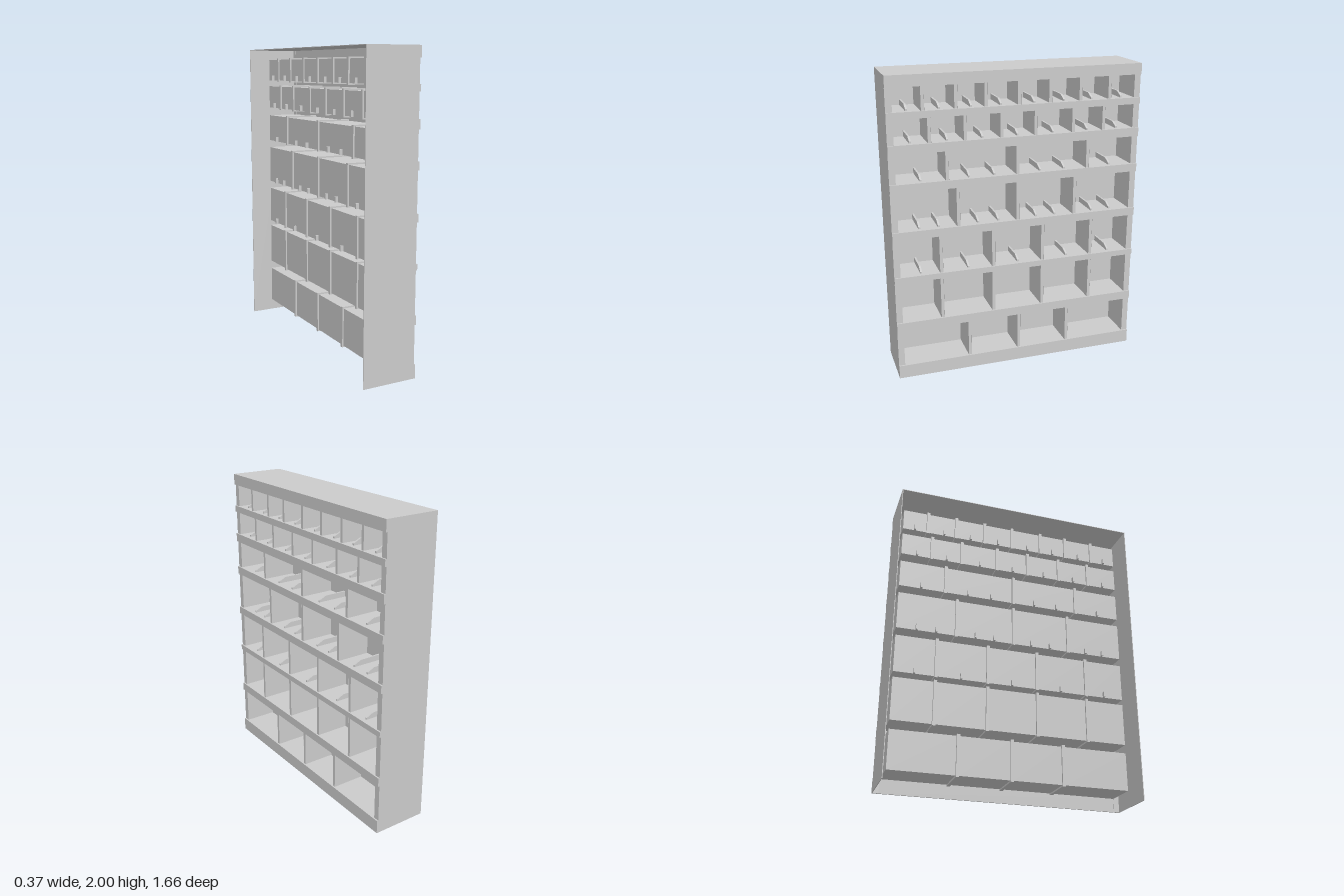
import * as THREE from 'three';

const mat = new THREE.MeshStandardMaterial({ color: 0xcccccc, flatShading: true });
const thinMat = new THREE.MeshStandardMaterial({ color: 0xcccccc, flatShading: true, side: THREE.DoubleSide });

// Box given by its limits on each axis; an open one has no face towards +x
function slab(parent, name, x0, x1, y0, y1, z0, z1, open = false) {
  const geo = new THREE.BoxGeometry(x1 - x0, y1 - y0, z1 - z0);
  if (open) {
    geo.setIndex(Array.from(geo.index.array).slice(6));
    geo.clearGroups();
  }
  const m = new THREE.Mesh(geo, open ? thinMat : mat);
  m.position.set((x0 + x1) / 2, (y0 + y1) / 2, (z0 + z1) / 2);
  m.name = name;
  parent.add(m);
}

// Depths along x; the open side faces +x
const BACK = -0.186, FRONT = 0.172, TRIM = 0.182;
const BIN_BACK = -0.05, DIVIDER_BACK = -0.06, RAIL_BACK = -0.07;
const HALF = 0.828, INNER = 0.787, GAP = 0.011, SHEET = 0.004;

// Bottom and top height of each front trim strip
const trims = [[0, 0.09], [0.342, 0.4], [0.682, 0.72], [0.972, 1.025],
  [1.282, 1.335], [1.522, 1.58], [1.737, 1.78], [1.928, 2]];

// Divider and rail positions along z for each row, from the bottom up
const rows = [
  { dividers: [0.34, -0.005, -0.355], rails: [] },
  { dividers: [0.52, 0.17, -0.17, -0.515], rails: [] },
  { dividers: [0.52, 0.17, -0.17, -0.515], rails: [0.65, 0.335, -0.005, -0.35, -0.655] },
  { dividers: [0.4, 0.005, -0.39], rails: [0.65, 0.525, 0.265, 0.13, -0.13, -0.26, -0.525, -0.655] },
  { dividers: [0.465, 0.005, -0.475], rails: [0.63, 0.32, 0.155, -0.155, -0.32, -0.64] },
  { dividers: [0.57, 0.345, 0.11, -0.115, -0.37, -0.58], rails: [0.685, 0.455, 0.23, 0, -0.24, -0.475, -0.68] },
  { dividers: [0.605, 0.4, 0.21, -0.005, -0.21, -0.415, -0.615], rails: [0.7, 0.5, 0.3, 0.11, -0.11, -0.31, -0.5, -0.705] },
];

// Low rail with a sloping nose
const railShape = new THREE.Shape();
railShape.moveTo(RAIL_BACK, 0);
railShape.lineTo(0.15, 0);
railShape.lineTo(0.15, 0.012);
railShape.lineTo(0.10, 0.036);
railShape.lineTo(RAIL_BACK, 0.036);
railShape.closePath();
const railGeometry = new THREE.ExtrudeGeometry(railShape, { depth: 0.012, bevelEnabled: false });
railGeometry.translate(0, 0, -0.006);

export function createModel() {
  const g = new THREE.Group();
  g.name = 'shelfUnit';

  // Outer case: thin sides, top board and front posts
  slab(g, 'sidePanel', BACK, FRONT, 0, 2, HALF - SHEET, HALF);
  slab(g, 'sidePanel', BACK, FRONT, 0, 2, -HALF, SHEET - HALF);
  slab(g, 'topBoard', BACK, FRONT, 2 - SHEET, 2, -HALF, HALF);
  slab(g, 'endPost', FRONT - SHEET, FRONT, 0, 2, INNER, HALF);
  slab(g, 'endPost', FRONT - SHEET, FRONT, 0, 2, -HALF, -INNER);

  // Front trim strips
  for (const [y0, y1] of trims) slab(g, 'frontTrim', FRONT, TRIM, y0, y1, -HALF, HALF);

  rows.forEach((row, i) => {
    const floor = trims[i][1];
    const ceiling = trims[i + 1][0];
    const r = new THREE.Group();
    r.name = 'shelfRow' + (i + 1);
    g.add(r);

    // Separate open-fronted bins, with gaps above and between them
    const edges = [INNER + GAP, ...row.dividers, -INNER - GAP];
    for (let k = 0; k + 1 < edges.length; k++) {
      slab(r, 'bin', BIN_BACK, FRONT, floor, ceiling, edges[k + 1] + GAP, edges[k] - GAP, true);
    }

    // Dividers fill the gaps and stand slightly proud at the back
    for (const z of row.dividers) {
      slab(r, 'divider', DIVIDER_BACK, FRONT, floor - 0.01, ceiling + 0.01, z - GAP + 0.001, z + GAP - 0.001);
    }
    for (const z of row.rails) {
      const rail = new THREE.Mesh(railGeometry, mat);
      rail.name = 'rail';
      rail.position.set(0, floor, z);
      r.add(rail);
    }
  });
  return g;
}
